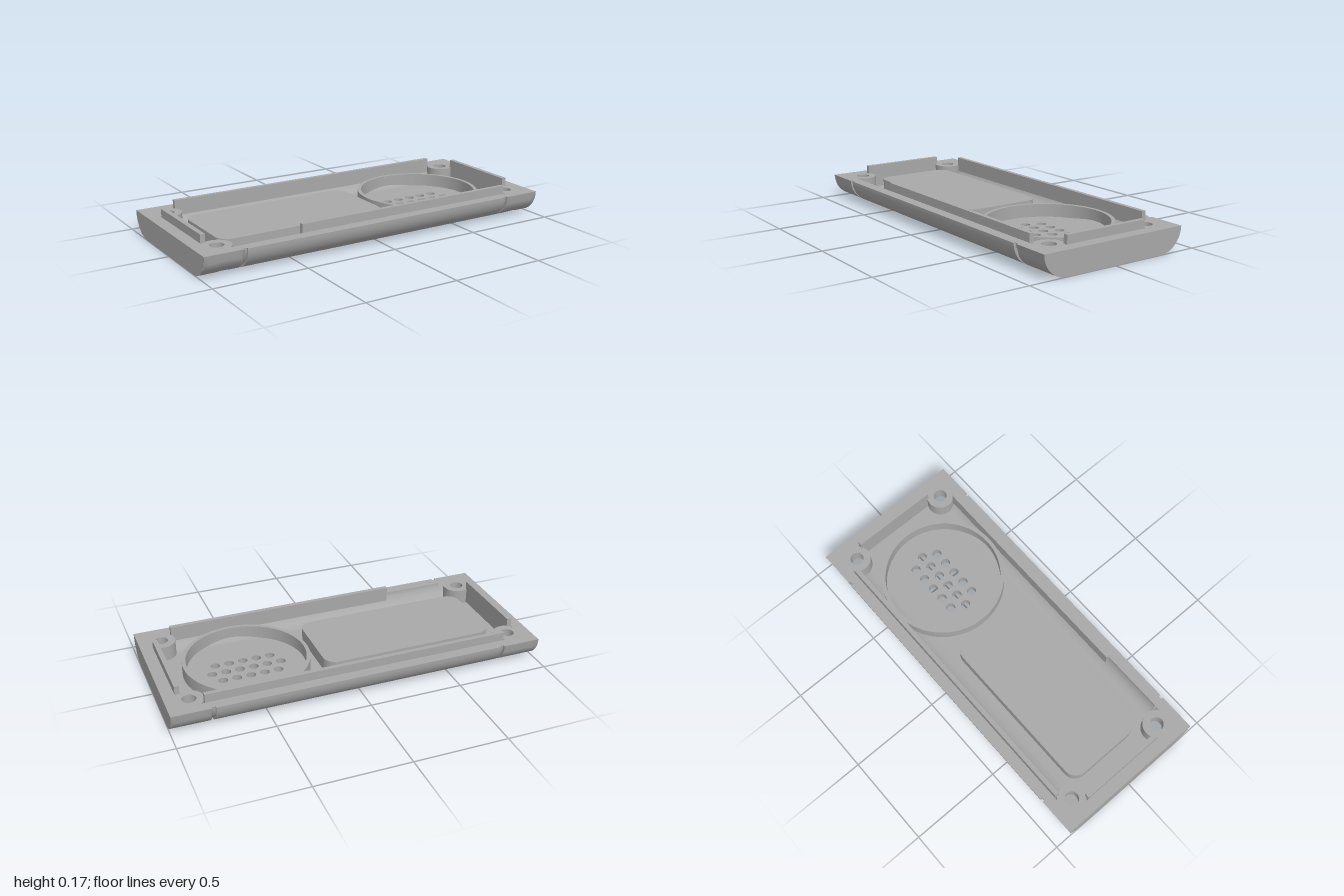
import * as THREE from 'three';
import { toCreasedNormals } from 'three/addons/utils/BufferGeometryUtils.js';

const RIM = 0.127, FLOOR = 0.045, LIP = 0.172;
const HALF_PI = Math.PI / 2;

// Height of the outer underside and the inner cavity surface at depth z
const arc = (z, start, width, low, high) => {
  const u = Math.min(1, Math.max(0, (Math.abs(z) - start) / width));
  return low + (high - low) * (1 - Math.sqrt(1 - u * u));
};
const outerY = z => arc(z, 0.29, 0.13, 0, RIM);
const innerY = z => Math.min(0.122, arc(z, 0.27, 0.09, FLOOR, RIM));

// Points of a quarter ellipse that climbs from (z0, y0) to (z1, RIM)
function climb(z0, z1, y0, steps = 14) {
  return Array.from({ length: steps + 1 }, (_, i) => {
    const t = i / steps * HALF_PI;
    return [z0 + (z1 - z0) * Math.sin(t), RIM - (RIM - y0) * Math.cos(t)];
  });
}
const polygon = pts => new THREE.Shape(pts.map(p => new THREE.Vector2(p[0], p[1])));
const flip = pts => pts.map(([z, y]) => [-z, y]).reverse();
const outerCurve = inset => climb(0.29, 0.42 - inset, inset);
const innerCurve = () => climb(0.27, 0.36, FLOOR).reverse();

// Full U section of the tray, with its outside drawn in by inset
function traySection(inset) {
  const out = outerCurve(inset), inn = innerCurve();
  return polygon([...flip(out), ...out, ...inn, ...flip(inn)]);
}

// Sweep a (z, y) section along x
function alongX(shape, x0, x1) {
  const g = new THREE.ExtrudeGeometry(shape, { depth: x1 - x0, bevelEnabled: false });
  return toCreasedNormals(g.rotateY(HALF_PI).translate(x0, 0, 0), 0.5);
}
// Raise a plan (x, z) shape between two heights
function upright(shape, y0, y1) {
  const g = new THREE.ExtrudeGeometry(shape, { depth: y1 - y0, bevelEnabled: false, curveSegments: 32 });
  return toCreasedNormals(g.rotateX(HALF_PI).translate(0, y1, 0), 0.5);
}
function circle(x, z, r) {
  return new THREE.Shape().absarc(x, z, r, 0, Math.PI * 2, false);
}
function rect(x0, x1, z0, z1) {
  return polygon([[x0, z0], [x1, z0], [x1, z1], [x0, z1]]);
}
function roundRect(x0, x1, z0, z1, r) {
  const s = new THREE.Shape();
  s.absarc(x1 - r, z1 - r, r, 0, HALF_PI);
  s.absarc(x0 + r, z1 - r, r, HALF_PI, Math.PI);
  s.absarc(x0 + r, z0 + r, r, Math.PI, 3 * HALF_PI);
  s.absarc(x1 - r, z0 + r, r, 3 * HALF_PI, 4 * HALF_PI);
  return s;
}

// Surface through rows of points
function loft(rows) {
  const n = rows[0].length, index = [];
  for (let r = 0; r < rows.length - 1; r++) for (let i = 0; i < n - 1; i++) {
    const a = r * n + i, b = a + n;
    index.push(a, b, a + 1, b, b + 1, a + 1);
  }
  const g = new THREE.BufferGeometry();
  g.setAttribute('position', new THREE.Float32BufferAttribute(rows.flat(2), 3));
  g.setIndex(index);
  g.computeVertexNormals();
  return g;
}

// Curved rectangular patch around a round opening
function holedPatch(x0, x1, z0, z1, cx, cz, r, height, sx, sz) {
  const c = [[x0, z0], [x1, z0], [x1, z1], [x0, z1]], edge = [];
  for (let s = 0; s < 4; s++) for (let i = 0; i < 14; i++) {
    const a = c[s], b = c[(s + 1) % 4], t = i / 14;
    edge.push([a[0] + (b[0] - a[0]) * t, a[1] + (b[1] - a[1]) * t]);
  }
  edge.push(edge[0]);
  const rows = [];
  for (let k = 0; k <= 8; k++) rows.push(edge.map(([x, z]) => {
    const d = Math.hypot(x - cx, z - cz), t = r / d + (1 - r / d) * k / 8;
    const px = cx + (x - cx) * t, pz = cz + (z - cz) * t;
    return [px * sx, height(pz), pz * sz];
  }));
  return loft(rows);
}

// Upright round wall whose foot follows a height rule
function roundWall(cx, cz, r, foot, top) {
  const ring = y => Array.from({ length: 49 }, (_, i) => {
    const a = i / 48 * Math.PI * 2, z = cz + r * Math.sin(a);
    return [cx + r * Math.cos(a), y(z), z];
  });
  return loft([ring(foot), ring(() => top)]);
}

export function createModel() {
  const model = new THREE.Group();
  model.name = 'enclosureHalf';
  const grey = new THREE.MeshStandardMaterial({ color: 0xa8a8a8, side: THREE.DoubleSide });
  grey.name = 'plainGrey';
  const add = (name, geometry, parent = model) => {
    const m = new THREE.Mesh(geometry, grey);
    m.name = name;
    parent.add(m);
    return m;
  };
  const box = (name, x0, x1, y0, y1, z0, z1) =>
    add(name, new THREE.BoxGeometry(x1 - x0, y1 - y0, z1 - z0)
      .translate((x0 + x1) / 2, (y0 + y1) / 2, (z0 + z1) / 2));

  // Floor with the sound holes and two round pockets
  const pockets = [-0.61, -0.1].map(x => circle(x, 0, 0.192));
  const floor = rect(-0.775, 0.775, -0.24, 0.24);
  for (const row of [-1, 0, 1]) {
    const count = row ? 5 : 6;
    for (let i = 0; i < count; i++)
      floor.holes.push(circle(0.497 + (i - (count - 1) / 2) * 0.075, row * 0.075, 0.025));
  }
  // The left pocket reaches past the floor plate, so its rim is kept just inside
  pockets[0] = circle(-0.58, 0, 0.19);
  floor.holes.push(...pockets);
  add('floor', upright(floor, 0, FLOOR));

  // Raised pad that closes the pockets
  const padWall = roundRect(-0.82, 0.13, -0.225, 0.22, 0.07);
  padWall.holes.push(...pockets);
  add('padWall', upright(padWall, FLOOR - 0.002, 0.1));
  add('padTop', upright(roundRect(-0.82, 0.13, -0.225, 0.22, 0.07), 0.1, 0.114));

  // Speaker ring
  const ring = circle(0.497, 0, 0.335);
  ring.holes.push(circle(0.497, 0, 0.315));
  add('speakerRing', upright(ring, FLOOR - 0.005, 0.114));

  // Rounded long walls
  const wall = [[0.24, 0], ...outerCurve(0), ...innerCurve(), [0.24, FLOOR]];
  add('leftWall', alongX(polygon(wall), -0.775, 0.775));
  add('rightWall', alongX(polygon(flip(wall)), -0.775, 0.775));

  // Rim, notched where the grooves arrive
  const edge = [[-1, 0.42]];
  for (const x of [-0.785, 0.785])
    edge.push([x - 0.01, 0.42], [x - 0.01, 0.408], [x + 0.01, 0.408], [x + 0.01, 0.42]);
  edge.push([1, 0.42]);
  const rim = polygon([...edge, ...edge.map(([x, z]) => [-x, -z])]);
  rim.holes.push(roundRect(-0.935, 0.935, -0.36, 0.36, 0.03));
  add('rim', new THREE.ShapeGeometry(rim).rotateX(HALF_PI).translate(0, RIM, 0));

  for (const sx of [-1, 1]) {
    // Groove around the outside, and the end section beyond it
    add('groove', alongX(traySection(0.012), sx * 0.785 - 0.01, sx * 0.785 + 0.01));
    add('grooveSide', new THREE.ShapeGeometry(traySection(0)).rotateY(HALF_PI).translate(sx * 0.795, 0, 0));
    box('endFloor', Math.min(sx * 0.795, sx), Math.max(sx * 0.795, sx), 0, FLOOR, -0.18, 0.18);
    const out = outerCurve(0);
    add('endWall', new THREE.ShapeGeometry(polygon([...flip(out), ...out])).rotateY(HALF_PI).translate(sx, 0, 0));
    add('endInnerWall', new THREE.PlaneGeometry(0.5, RIM - FLOOR).rotateY(-sx * HALF_PI)
      .translate(sx * 0.935, (RIM + FLOOR) / 2, 0));
    box('endLip', sx * 0.9225 - 0.0125, sx * 0.9225 + 0.0125, FLOOR, LIP, -0.238, 0.238);

    // Screw posts with counterbores
    for (const sz of [-1, 1]) {
      const post = new THREE.Group();
      post.name = 'screwPost';
      model.add(post);
      const x = sx * 0.878, z = sz * 0.297;
      add('cornerUnderside', holedPatch(0.795, 1, 0.18, 0.42, 0.878, 0.297, 0.065, outerY, sx, sz), post);
      add('cornerInside', holedPatch(0.795, 0.965, 0.18, 0.38, 0.878, 0.297, 0.075, innerY, sx, sz), post);
      add('counterbore', roundWall(x, z, 0.065, outerY, 0.055), post);
      add('postWall', roundWall(x, z, 0.075, innerY, RIM), post);
      add('screwHole', roundWall(x, z, 0.036, () => 0.055, RIM), post);
      for (const [name, r, y] of [['counterboreSeat', 0.065, 0.055], ['postTop', 0.075, RIM]])
        add(name, new THREE.RingGeometry(0.036, r, 48).rotateX(y === RIM ? -HALF_PI : HALF_PI).translate(x, y, z), post);
    }
  }

  // Locating lips along the long sides; the front one is shorter
  box('backLip', -0.82, 0.815, 0.09, LIP, -0.359, -0.335);
  box('frontLip', -0.45, 0.815, 0.09, LIP, 0.335, 0.359);

  return model;
}
